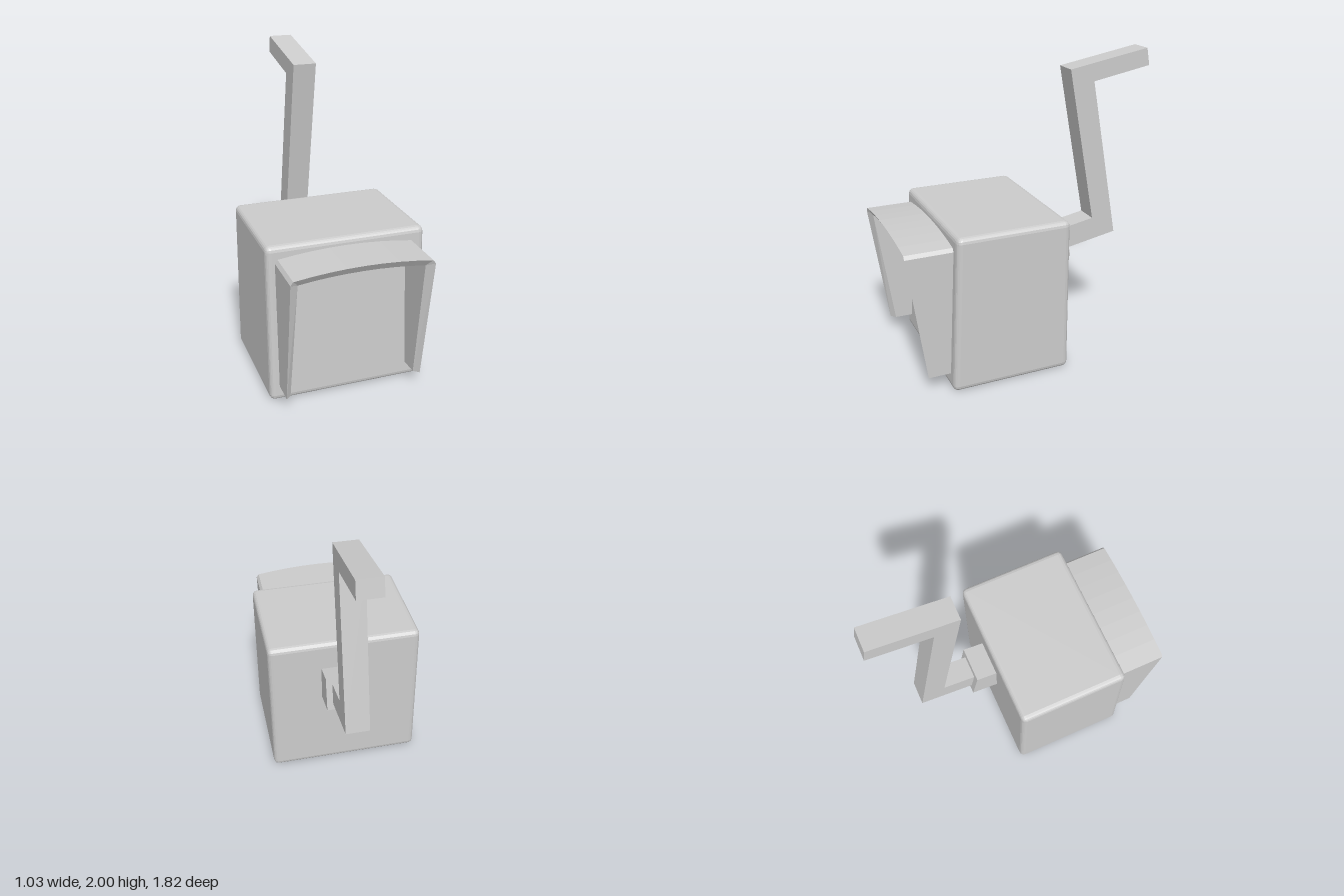
import * as THREE from 'three';
import { RoundedBoxGeometry } from 'three/addons/geometries/RoundedBoxGeometry.js';

const material = new THREE.MeshStandardMaterial({ color: 0xcccccc, flatShading: true });

function addMesh(group, name, geometry) {
  const mesh = new THREE.Mesh(geometry, material);
  mesh.name = name;
  group.add(mesh);
}

// Extrudes a side profile of [z, y] points across x
function sideExtrusion(points, width, centreX) {
  const shape = new THREE.Shape(points.map(([z, y]) => new THREE.Vector2(z, y)));
  const geometry = new THREE.ExtrudeGeometry(shape, { depth: width, bevelEnabled: false });
  return geometry.rotateY(-Math.PI / 2).translate(centreX + width / 2, 0, 0);
}

// Rounded block whose front leans back towards the top
function bodyGeometry() {
  const height = 1.034;
  const geometry = new RoundedBoxGeometry(1.03, height, 0.75, 2, 0.035);
  geometry.translate(0, height / 2, 0.225);
  const p = geometry.attributes.position;
  for (let i = 0; i < p.count; i++) {
    if (p.getZ(i) > 0.225) p.setZ(i, p.getZ(i) + 0.048 * (1 - p.getY(i) / height));
  }
  geometry.computeVertexNormals();
  return geometry;
}

// Arched hood: a four-cornered section swept up one leg, over and down the other
function hoodGeometry() {
  const centreX = -0.008, backZ = 0.56, bevel = 0.03;
  const frontZ = (y) => Math.min(0.91, 0.79 + (y - 0.1) * 0.15);

  // Outer x, y and inner x, y at each station
  const stations = [[-0.447, 0.1, -0.405, 0.1], [-0.452, 0.93, -0.392, 0.904]];
  const arcSteps = 8;
  for (let i = 0; i <= arcSteps; i++) {
    const t = (i / arcSteps) * 2 - 1;
    const rise = 1 - t * t;
    stations.push([0.435 * t, 0.953 + 0.032 * rise, 0.39 * t, 0.906 + 0.026 * rise]);
  }
  stations.push([0.452, 0.93, 0.392, 0.904], [0.447, 0.1, 0.405, 0.1]);

  const rings = stations.map(([ox, oy, ix, iy]) => [
    [ox + centreX, oy, frontZ(oy)],
    [ix + centreX + Math.sign(ix) * 0.008, iy + 0.006 * (iy > 0.5), frontZ(iy) - bevel],
    [ix + centreX, iy, backZ],
    [ox + centreX, oy, backZ],
  ]);

  const positions = [];
  const quad = (a, b, c, d) => positions.push(...a, ...b, ...c, ...a, ...c, ...d);
  for (let s = 0; s < rings.length - 1; s++) {
    for (let i = 0; i < 4; i++) {
      const j = (i + 1) % 4;
      quad(rings[s][i], rings[s][j], rings[s + 1][j], rings[s + 1][i]);
    }
  }
  quad(...[...rings[0]].reverse());
  quad(...rings[rings.length - 1]);

  const geometry = new THREE.BufferGeometry();
  geometry.setAttribute('position', new THREE.Float32BufferAttribute(positions, 3));
  geometry.computeVertexNormals();
  return geometry;
}

export function createModel() {
  const model = new THREE.Group();
  model.name = 'crankBox';

  addMesh(model, 'body', bodyGeometry());
  addMesh(model, 'frontHood', hoodGeometry());

  // Tilted socket on the back
  addMesh(model, 'crankSocket', sideExtrusion(
    [[-0.1, 0.825], [-0.29, 0.86], [-0.332, 0.625], [-0.1, 0.585]], 0.24, 0.042));

  // Z-shaped crank: shaft, arm and handle
  addMesh(model, 'crank', sideExtrusion([
    [-0.28, 0.817], [-0.515, 0.86], [-0.326, 1.9], [-0.886, 2],
    [-0.907, 1.885], [-0.498, 1.81], [-0.69, 0.735], [-0.28, 0.662],
  ], 0.157, 0.042));

  return model;
}
